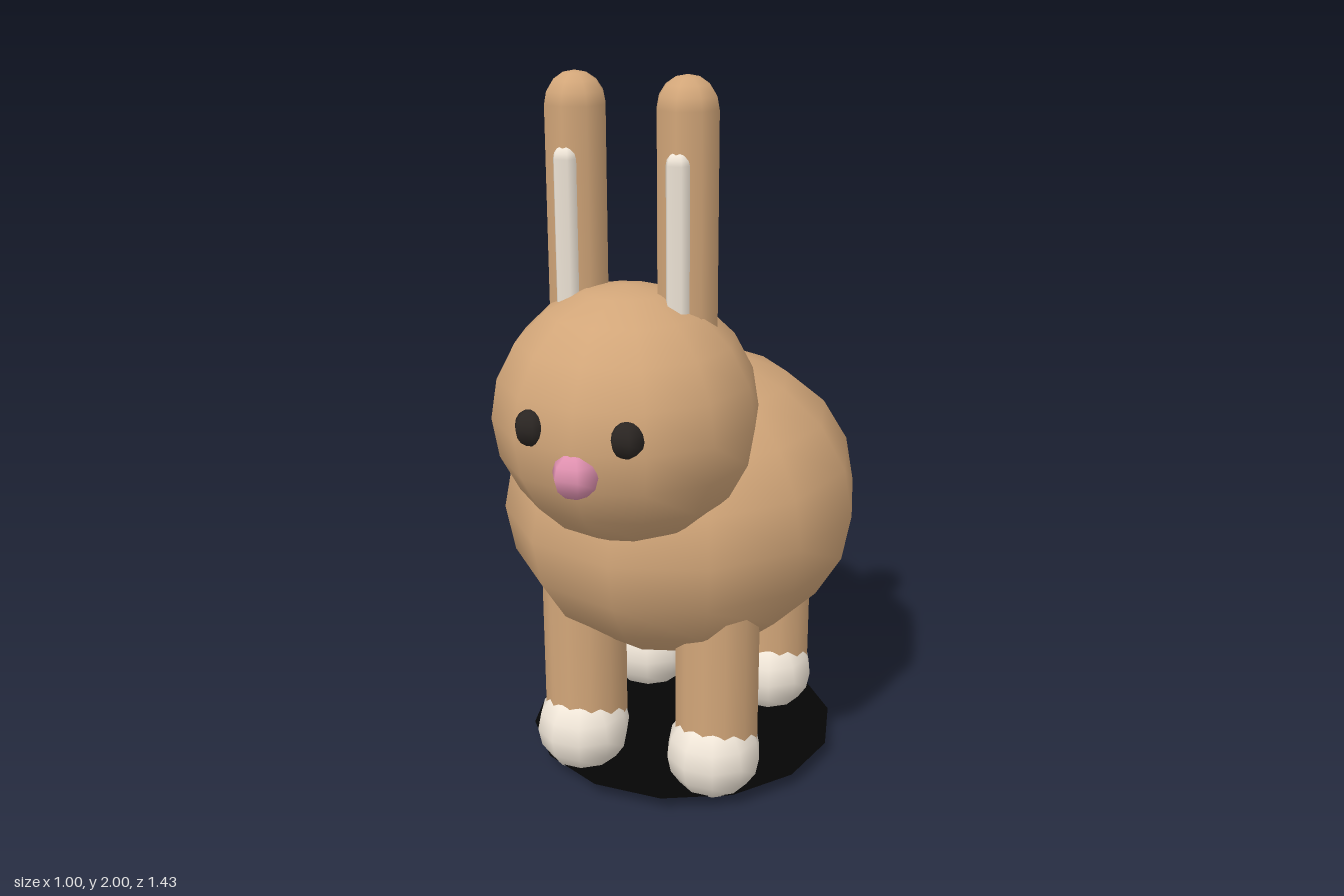
import * as THREE from 'three';

const paint = (color) => new THREE.MeshStandardMaterial({ color });

export function createModel() {
  const group = new THREE.Group();
  const fur = paint(0xd2a679);
  const cream = paint(0xf0e6d8);
  const dark = paint(0x2a2522);
  const pink = paint(0xe091b0);

  const add = (name, geometry, material, x, y, z) => {
    const mesh = new THREE.Mesh(geometry, material);
    mesh.name = name;
    mesh.position.set(x, y, z);
    group.add(mesh);
    return mesh;
  };
  // Low-count smooth ball, stretched along each axis
  const ball = (name, material, [rx, ry, rz], [x, y, z], sides, rings) =>
    add(name, new THREE.SphereGeometry(1, sides, rings).scale(rx, ry, rz), material, x, y, z);
  // Upright round-ended bar between two heights
  const bar = (name, material, r, bottom, top, x, z, sides) =>
    add(name, new THREE.CapsuleGeometry(r, top - bottom - 2 * r, 4, sides), material, x, (top + bottom) / 2, z);

  // Body, head, tail and nose
  ball('body', fur, [0.5, 0.43, 0.55], [0, 0.78, -0.07], 12, 10);
  ball('head', fur, [0.344, 0.333, 0.342], [0, 1.158, 0.341], 12, 10);
  ball('tail', cream, [0.2, 0.2, 0.2], [0, 0.78, -0.525], 10, 8);
  ball('nose', pink, [0.06, 0.06, 0.06], [0, 1.1, 0.66], 6, 6);

  for (const [side, s] of [['left', 1], ['right', -1]]) {
    // Ears with a pale inner strip
    bar(side + 'Ear', fur, 0.08, 1.3, 2, s * 0.147, 0.295, 8);
    bar(side + 'InnerEar', cream, 0.035, 1.35, 1.83, s * 0.147, 0.355, 6);
    ball(side + 'Eye', dark, [0.044, 0.046, 0.045], [s * 0.124, 1.196, 0.635], 6, 8);

    // Legs and paws
    for (const [end, z] of [['Front', 0.19], ['Back', -0.325]]) {
      add(side + end + 'Leg', new THREE.CylinderGeometry(0.118, 0.118, 0.48, 12), fur, s * 0.2, 0.38, z);
      ball(side + end + 'Paw', cream, [0.135, 0.135, 0.135], [s * 0.2, 0.135, z + 0.025], 10, 8);
    }
  }

  // Flat dark disc around the paws
  const disc = add('groundDisc', new THREE.CircleGeometry(0.45, 14), paint(0x050505), 0, 0.045, -0.07);
  disc.material.side = THREE.DoubleSide;
  disc.rotation.x = -Math.PI / 2;

  return group;
}
